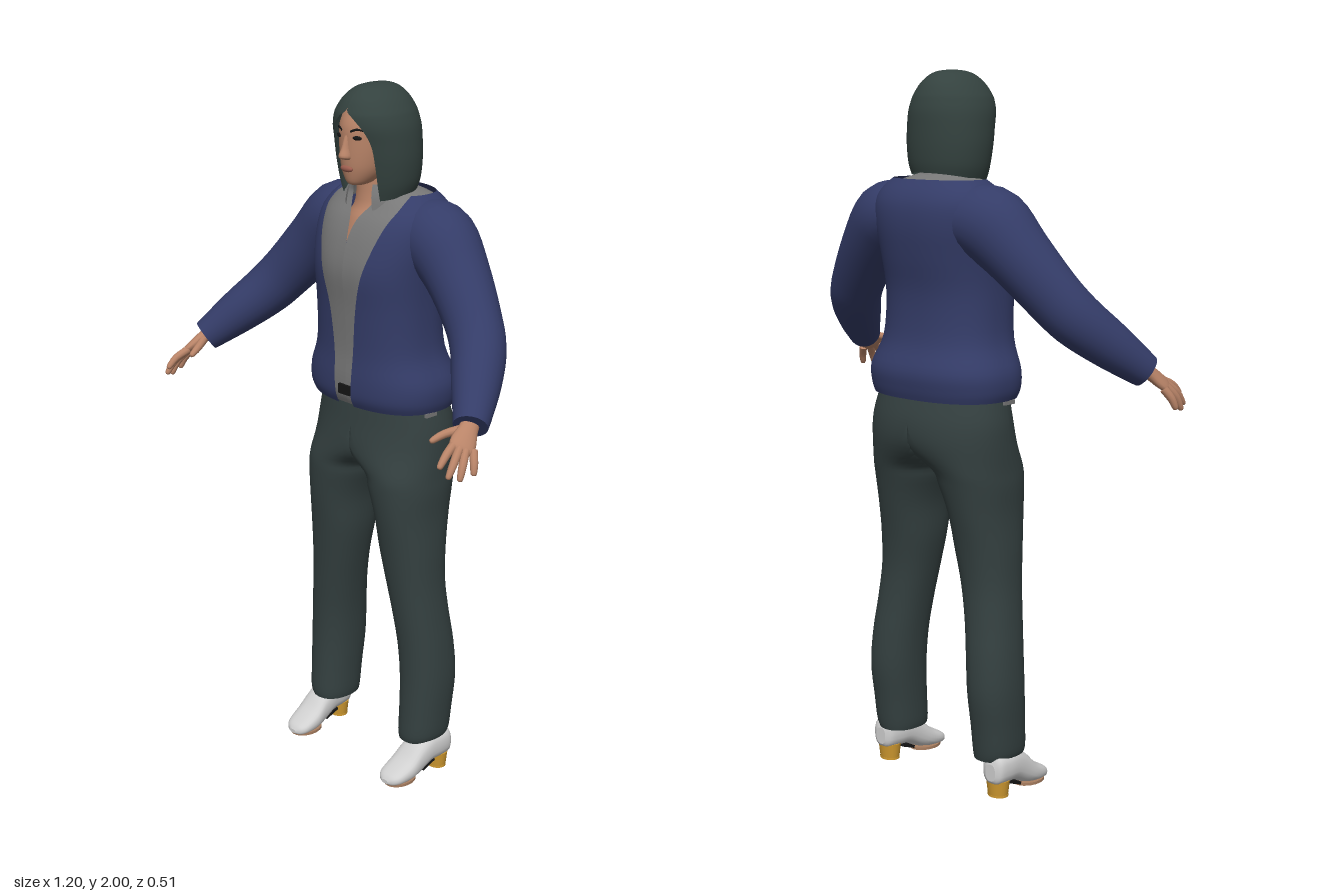
import * as THREE from 'three';

const paint = (name, color, side = THREE.FrontSide) => {
  const m = new THREE.MeshStandardMaterial({ color, side });
  m.name = name;
  return m;
};

// Smoothly resample a list of number rows
function smooth(rows, steps = 4) {
  const out = [];
  for (let i = 0; i < rows.length - 1; i++) {
    const p = rows[Math.max(i - 1, 0)], a = rows[i], b = rows[i + 1], q = rows[Math.min(i + 2, rows.length - 1)];
    for (let k = 0; k < steps; k++) {
      const t = k / steps;
      out.push(a.map((v, c) => {
        const m0 = (b[c] - p[c]) / 2, m1 = (q[c] - v) / 2;
        return v + m0 * t + (3 * (b[c] - v) - 2 * m0 - m1) * t * t + (2 * (v - b[c]) + m0 + m1) * t * t * t;
      }));
    }
  }
  out.push(rows[rows.length - 1]);
  return out;
}

// Skin over a list of rings, optionally closed around and capped at both ends
function loft(rings, closed = true, capped = true) {
  const pos = [], idx = [], n = rings[0].length;
  rings.forEach(r => r.forEach(p => pos.push(p.x, p.y, p.z)));
  for (let i = 0; i < rings.length - 1; i++) {
    for (let j = 0; j < (closed ? n : n - 1); j++) {
      const k = (j + 1) % n, a = i * n + j, b = i * n + k;
      idx.push(a, b, b + n, a, b + n, a + n);
    }
  }
  if (closed && capped) {
    [rings[0], rings[rings.length - 1]].forEach((r, end) => {
      const base = pos.length / 3, c = new THREE.Vector3();
      r.forEach(p => { c.add(p); pos.push(p.x, p.y, p.z); });
      c.divideScalar(n);
      pos.push(c.x, c.y, c.z);
      for (let j = 0; j < n; j++) {
        const k = (j + 1) % n;
        idx.push(base + n, base + (end ? j : k), base + (end ? k : j));
      }
    });
  }
  const g = new THREE.BufferGeometry();
  g.setAttribute('position', new THREE.Float32BufferAttribute(pos, 3));
  g.setIndex(idx);
  g.computeVertexNormals();
  return g;
}

const power = (v, e) => Math.sign(v) * Math.abs(v) ** e;

// Upright body from rows [y, halfWidth, zFront, zBack, frontOpening, frontDrop, centreX]
function body(rows, { open = false, n = 2, seg = 40, minX = -9 } = {}) {
  return loft(smooth(rows).map(([y, rx, zf, zb, w = 0, drop = 0, cx = 0]) => {
    const start = open ? Math.asin(Math.min(1, Math.max(0, w) / rx) ** (n / 2)) : 0;
    return Array.from({ length: open ? seg + 1 : seg }, (_, j) => {
      const a = start + (2 * Math.PI - 2 * start) * j / seg;
      return new THREE.Vector3(
        Math.max(minX, cx + rx * power(Math.sin(a), 2 / n)),
        y - drop * (1 + Math.cos(a)) / 2,
        (zf + zb) / 2 + (zf - zb) / 2 * power(Math.cos(a), 2 / n));
    });
  }), !open);
}

// Limb from rows [x, y, z, radiusU, radiusV], radiusU lying along the hint direction
function limb(rows, hint = new THREE.Vector3(0, 0, 1), seg = 16, steps = 4) {
  const pts = smooth(rows, steps), at = i => new THREE.Vector3(...pts[i].slice(0, 3));
  return loft(pts.map((p, i) => {
    const t = at(Math.min(i + 1, pts.length - 1)).sub(at(Math.max(i - 1, 0))).normalize();
    const u = hint.clone().addScaledVector(t, -hint.dot(t)).normalize();
    const v = t.clone().cross(u);
    return Array.from({ length: seg }, (_, j) => {
      const a = 2 * Math.PI * j / seg;
      return at(i).addScaledVector(u, p[3] * Math.cos(a)).addScaledVector(v, p[4] * Math.sin(a));
    });
  }));
}

function mirrored(g) {
  const m = g.clone().scale(-1, 1, 1), ix = m.index;
  for (let i = 0; i < ix.count; i += 3) {
    const b = ix.getX(i + 1);
    ix.setX(i + 1, ix.getX(i + 2));
    ix.setX(i + 2, b);
  }
  return m;
}

export function createModel() {
  const model = new THREE.Group();
  const D = THREE.DoubleSide;
  const navy = paint('navy jacket', 0x343c68, D), cloth = paint('trouser charcoal', 0x344040);
  const hairMat = paint('dark hair', 0x34423f, D), grey = paint('shirt grey', 0x787878, D);
  const skin = paint('skin', 0xb98468), white = paint('shoe white', 0xd0d0d0);
  const tan = paint('sole tan', 0xa87e60), gold = paint('heel gold', 0xd09a30);
  const black = paint('black', 0x161616), lip = paint('lip', 0x9c5d4e);
  const add = (name, g, mat) => {
    const m = new THREE.Mesh(g, mat);
    m.name = name;
    model.add(m);
  };
  const pair = (name, g, mat) => {
    add('left' + name, g, mat);
    add('right' + name, mirrored(g), mat);
  };

  // Jacket, open at the front
  const torso = [
    [1.12, .217, .05, -.242, .03], [1.15, .226, .062, -.25, .03], [1.2, .224, .064, -.253, .033],
    [1.28, .192, .06, -.225, .037], [1.4, .185, .066, -.22, .05], [1.5, .19, .075, -.238, .075],
    [1.58, .2, .06, -.25, .1], [1.64, .2, .035, -.248, .118], [1.68, .18, .005, -.232, .13],
    [1.712, .143, -.03, -.205, .128]];
  add('jacketBody', body(torso, { open: true, n: 2.4, seg: 56 }), navy);
  pair('Sleeve', limb([
    [.13, 1.605, -.12, .1, .095], [.195, 1.59, -.115, .102, .105], [.275, 1.515, -.1, .088, .09],
    [.36, 1.42, -.07, .076, .08], [.415, 1.355, -.035, .074, .075], [.47, 1.29, .03, .066, .065],
    [.515, 1.235, .09, .052, .052], [.532, 1.213, .115, .046, .046]], undefined, 24), navy);

  // Shirt with open neck and folded collar
  const inset = .011;
  const shirtRows = torso.slice(0, 9).map(([y, rx, zf, zb], i) =>
    [y, rx - inset, zf - inset, zb + inset, [0, 0, 0, 0, 0, 0, 0, .012, .036][i]]);
  add('shirt', body([...shirtRows, [1.705, .125, -.02, -.195, .048], [1.725, .078, -.015, -.145, .045]],
    { open: true, n: 2.4, seg: 48 }), grey);
  add('collar', body([[1.69, .098, .014, -.172, .05, .02], [1.715, .09, .01, -.16, .045, .01], [1.738, .074, 0, -.14, .04, 0]],
    { open: true }), grey);
  add('buckle', new THREE.BoxGeometry(.045, .028, .008).translate(0, 1.165, .056), black);

  // Trousers: each side runs from cuff to waist and meets at the centre
  const legRows = [
    [.105, .058, -.005, -.155, .187], [.13, .065, -.002, -.16, .19], [.2, .068, -.006, -.168, .191],
    [.3, .072, -.01, -.18, .19], [.4, .073, -.008, -.176, .183], [.5, .075, 0, -.165, .17],
    [.6, .08, .01, -.16, .155], [.7, .088, .022, -.17, .143], [.8, .091, .036, -.19, .135],
    [.88, .105, .044, -.208, .123], [.93, .117, .045, -.222, .109], [1, .195, .042, -.248, .03],
    [1.06, .221, .036, -.25, 0], [1.12, .207, .03, -.235, 0], [1.15, .197, .025, -.225, 0]];
  pair('TrouserLeg', body(legRows.map(([y, rx, zf, zb, cx]) => [y, rx, zf, zb, 0, 0, cx]),
    { n: 2.2, minX: 0 }), cloth);
  pair('PocketTrim', new THREE.BoxGeometry(.008, .012, .04).translate(.212, 1.115, -.07), grey);

  // Hands
  const across = new THREE.Vector3(.037, -.02, -.04).normalize();
  pair('Palm', limb([
    [.52, 1.23, .095, .026, .022], [.535, 1.21, .125, .026, .018], [.546, 1.188, .153, .034, .016],
    [.555, 1.173, .172, .033, .012], [.558, 1.166, .18, .02, .006]], across), skin);
  const fingers = {
    IndexFinger: [[.537, 1.183, .18], [.546, 1.165, .218], [.55, 1.137, .248]],
    MiddleFinger: [[.553, 1.175, .177], [.566, 1.148, .21], [.571, 1.112, .237]],
    RingFinger: [[.563, 1.17, .165], [.578, 1.14, .19], [.585, 1.102, .208]],
    LittleFinger: [[.571, 1.166, .145], [.587, 1.14, .158], [.596, 1.11, .168]],
    Thumb: [[.52, 1.208, .135], [.497, 1.198, .175], [.484, 1.183, .213]],
  };
  for (const [name, p] of Object.entries(fingers)) {
    const tip = p[1].map((v, c) => v + (p[2][c] - v) * .85);
    pair(name, limb([[...p[0], .012, .012], [...p[1], .011, .011], [...tip, .008, .008], [...p[2], .002, .002]],
      across, 10, 3), skin);
  }

  // Neck, head and face
  add('neck', body([[1.58, .09, .03, -.1], [1.64, .075, .012, -.11], [1.69, .055, -.008, -.115], [1.8, .05, -.01, -.11]]), skin);
  add('head', body([
    [1.737, .02, .028, -.02], [1.745, .034, .038, -.05], [1.77, .053, .045, -.085], [1.8, .066, .049, -.115],
    [1.85, .076, .05, -.14], [1.9, .077, .047, -.15], [1.95, .062, .024, -.135]]), skin);
  add('nose', body([[1.809, .013, .058, .03], [1.817, .017, .071, .03], [1.84, .011, .062, .03], [1.872, .008, .052, .03]], { seg: 16 }), skin);
  add('lips', new THREE.SphereGeometry(1, 16, 10).scale(.023, .009, .008).translate(0, 1.783, .046), lip);
  pair('Eye', new THREE.SphereGeometry(1, 14, 8).scale(.014, .006, .004).rotateY(.35).translate(.034, 1.868, .04), black);
  pair('Brow', limb([[.016, 1.884, .047, .002, .003], [.035, 1.891, .041, .002, .003], [.054, 1.885, .025, .002, .002]], undefined, 8), black);

  // Chin-length hair, parted around the face
  add('hair', body([
    [1.728, .104, .012, -.174, .07, .035], [1.755, .115, .022, -.18, .073, .02], [1.8, .121, .034, -.184, .074, 0],
    [1.85, .12, .043, -.185, .07, 0], [1.89, .116, .052, -.184, .055, 0], [1.92, .107, .052, -.178, .026, 0],
    [1.938, .098, .046, -.172, .002, 0], [1.965, .078, .03, -.157, 0, 0], [1.987, .052, .004, -.133, 0, 0],
    [1.997, .026, -.025, -.107, 0, 0], [2, .003, -.062, -.068, 0, 0]], { open: true, n: 2.1, seg: 48 }), hairMat);

  // Shoes: rows [z, bottom, top, halfWidth]
  const shoe = smooth([
    [-.147, .05, .1, .018], [-.135, .038, .125, .036], [-.1, .036, .13, .043], [-.06, .033, .13, .045],
    [-.02, .014, .108, .046], [.02, .005, .07, .048], [.06, .004, .046, .043], [.08, .005, .034, .031], [.09, .01, .022, .012]]);
  pair('Shoe', loft(shoe.map(([z, b, t, w]) => Array.from({ length: 24 }, (_, j) => {
    const a = 2 * Math.PI * j / 24;
    return new THREE.Vector3(.207 - .06 * z + w * power(Math.cos(a), .8), (b + t) / 2 + (t - b) / 2 * power(Math.sin(a), .8), z);
  }))), white);
  pair('Sole', new THREE.CylinderGeometry(1, 1, .008, 24).scale(.04, 1, .052).translate(.205, .004, .03), tan);
  pair('Heel', new THREE.CylinderGeometry(.036, .03, .046, 20).scale(1, 1, .85).translate(.214, .025, -.112), gold);
  pair('HeelTip', new THREE.CylinderGeometry(.031, .031, .006, 20).scale(1, 1, .85).translate(.214, .003, -.112), gold);
  pair('Shank', new THREE.BoxGeometry(.05, .008, .05).rotateX(.35).translate(.21, .026, -.06), black);
  return model;
}
